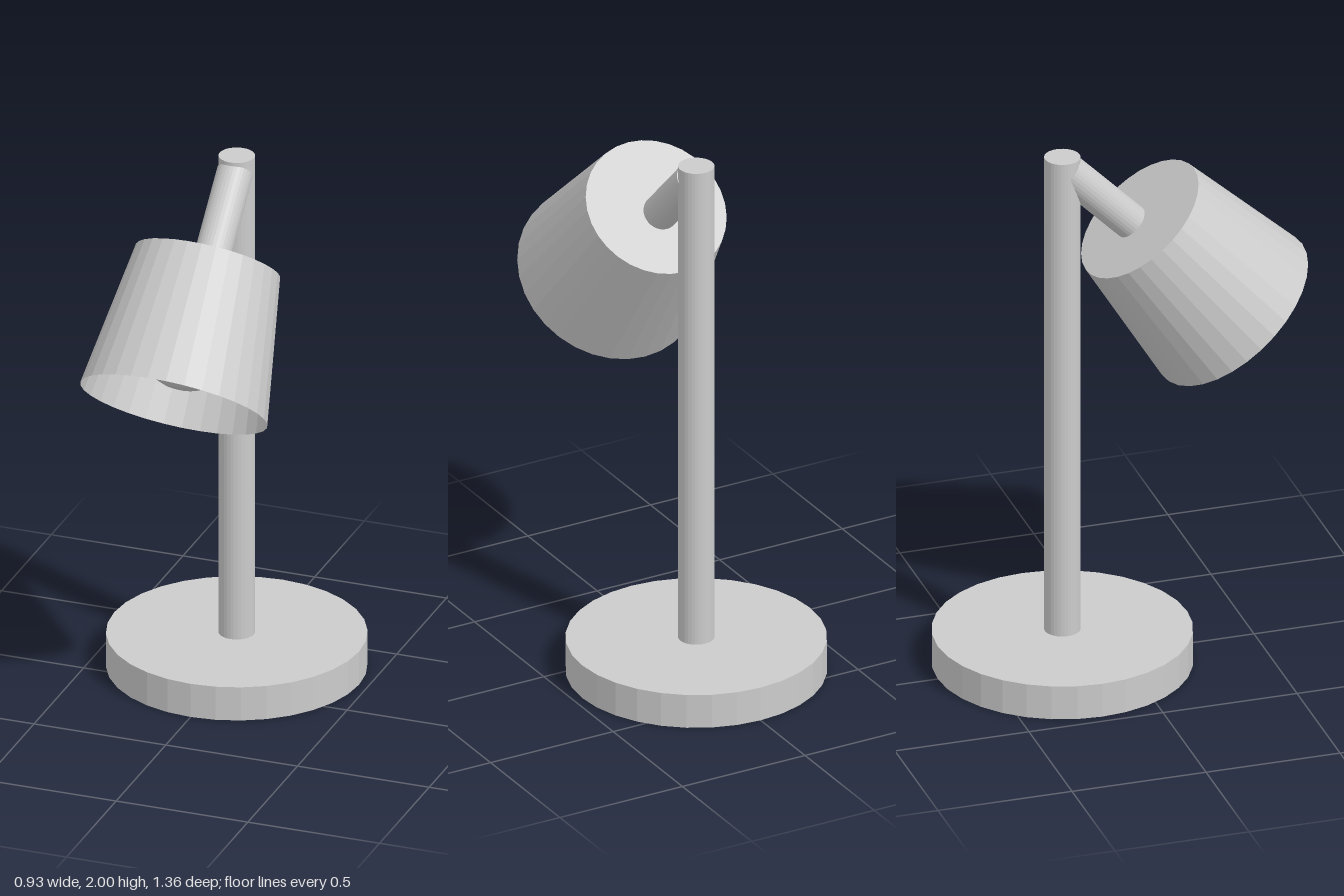
import * as THREE from 'three';

const SIDES = 32;
const POLE_Z = -0.215;

export function createModel() {
  const lamp = new THREE.Group();
  lamp.name = 'deskLamp';
  const solid = new THREE.MeshStandardMaterial({ color: 0xcccccc, flatShading: true });
  const thin = new THREE.MeshStandardMaterial({ color: 0xcccccc, flatShading: true, side: THREE.DoubleSide });

  const add = (name, geometry, parent = lamp, material = solid) => {
    const mesh = new THREE.Mesh(geometry, material);
    mesh.name = name;
    parent.add(mesh);
    return mesh;
  };

  // Round foot and upright pole
  add('base', new THREE.CylinderGeometry(0.465, 0.465, 0.13, SIDES)).position.set(0, 0.065, POLE_Z);
  add('pole', new THREE.CylinderGeometry(0.065, 0.065, 1.87, SIDES)).position.set(0, 1.065, POLE_Z);

  // Short arm sloping down from the top of the pole, stopping just above the shade
  const armTop = new THREE.Vector3(0, 1.945, -0.2);
  const armEnd = new THREE.Vector3(0, 1.703, 0.042);
  const arm = add('arm', new THREE.CylinderGeometry(0.065, 0.065, armTop.distanceTo(armEnd), SIDES));
  arm.position.copy(armTop).lerp(armEnd, 0.5);
  arm.rotation.x = -Math.PI / 4;

  // Tilted shade: thin tapered wall, open below, with a flat closed top
  const shade = new THREE.Group();
  shade.name = 'shade';
  shade.position.set(0, 1.505, 0.246);
  shade.rotation.x = THREE.MathUtils.degToRad(-40);
  lamp.add(shade);
  const height = 0.535;
  add('shadeWall', new THREE.CylinderGeometry(0.264, 0.342, height, SIDES, 1, true), shade, thin);
  const cap = add('shadeTop', new THREE.CircleGeometry(0.264, SIDES), shade, thin);
  cap.rotation.set(-Math.PI / 2, 0, Math.PI / 2);
  cap.position.y = height / 2;

  // Bulb inside the shade
  add('bulb', new THREE.SphereGeometry(0.195, SIDES, 16)).position.set(0, 1.495, 0.254);

  return lamp;
}
